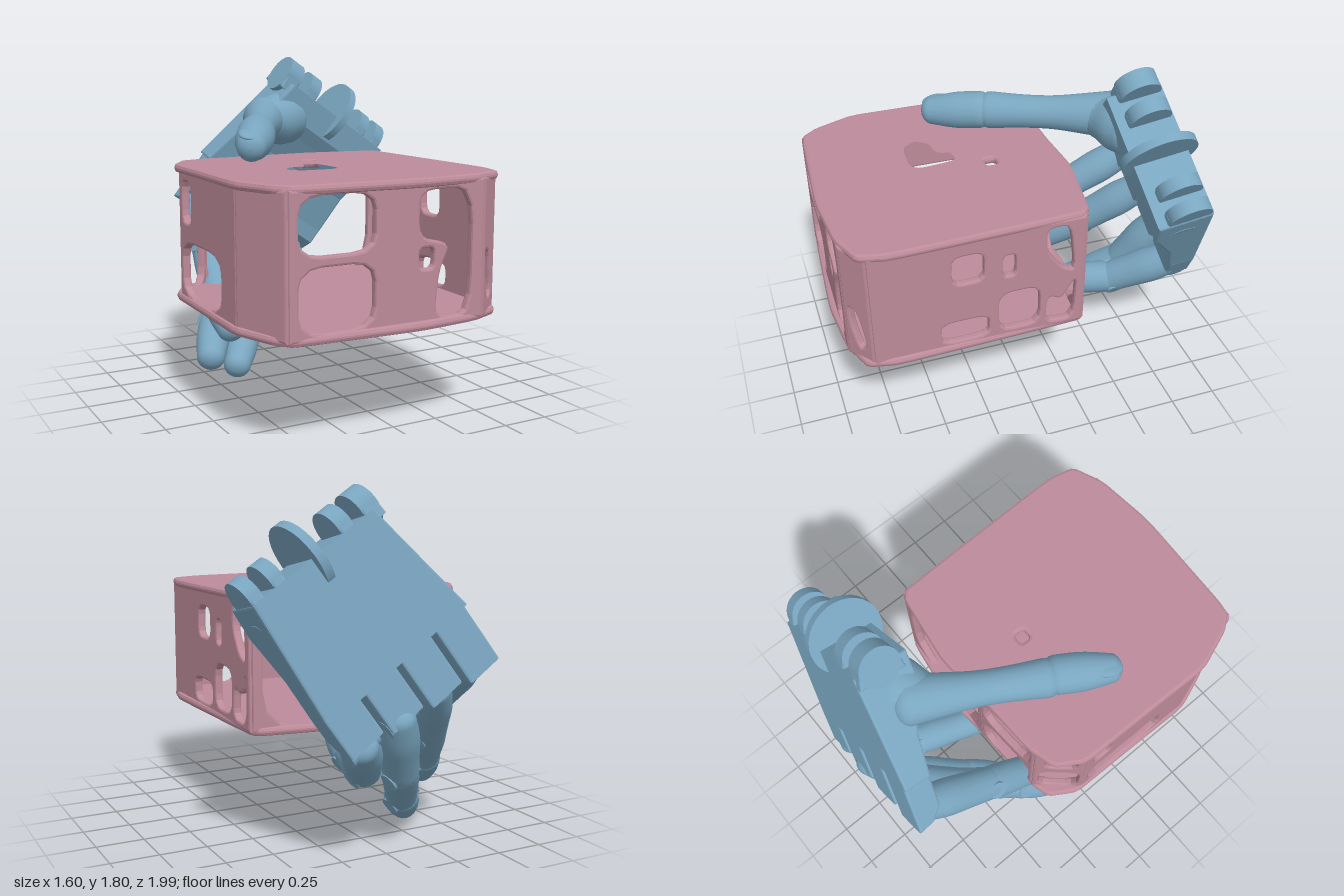
import * as THREE from 'three';

const V = (a) => new THREE.Vector3(...a);
const blue = new THREE.MeshStandardMaterial({ color: 0x7aa6c0 });
const pink = new THREE.MeshStandardMaterial({ color: 0xbd8b9a });

function add(parent, name, geometry, material) {
  const mesh = new THREE.Mesh(geometry, material);
  mesh.name = name;
  parent.add(mesh);
  return mesh;
}

// Corner-cutting turns a rough polygon into a soft outline
function soften(pts, cut = 0.18) {
  for (let k = 0; k < 2; k++) {
    pts = pts.flatMap((p, i) => {
      const q = pts[(i + 1) % pts.length];
      return [cut, 1 - cut].map((t) => [p[0] + (q[0] - p[0]) * t, p[1] + (q[1] - p[1]) * t]);
    });
  }
  return pts.map((p) => new THREE.Vector2(...p));
}
const rect = (x0, x1, y0, y1) => [[x0, y0], [x1, y0], [x1, y1], [x0, y1]];

function slab(shape, depth, bevel) {
  return new THREE.ExtrudeGeometry(shape, {
    depth: depth - 2 * bevel, bevelSize: bevel, bevelThickness: bevel, bevelOffset: -bevel, bevelSegments: 2,
  }).translate(0, 0, bevel);
}

// Round limb from p to q, radii spread evenly, domed at both ends
function limb(parent, name, p, q, radii) {
  const a = V(p), d = V(q).sub(a), len = d.length(), pts = [];
  const r0 = radii[0], r1 = radii[radii.length - 1];
  for (let i = 0; i < 5; i++) {
    const t = (i / 5) * Math.PI / 2;
    pts.push(new THREE.Vector2(Math.sin(t) * r0, -Math.cos(t) * r0 * 0.7));
  }
  const path = new THREE.SplineCurve(radii.map((r, i) => new THREE.Vector2(r, len * i / (radii.length - 1))));
  pts.push(...path.getPoints(radii.length * 3));
  for (let i = 1; i <= 6; i++) {
    const t = (i / 6) * Math.PI / 2;
    pts.push(new THREE.Vector2(Math.max(Math.cos(t), 0) * r1, len + Math.sin(t) * r1 * 0.8));
  }
  const mesh = add(parent, name, new THREE.LatheGeometry(pts, 20), blue);
  mesh.position.copy(a);
  mesh.quaternion.setFromUnitVectors(new THREE.Vector3(0, 1, 0), d.normalize());
}

function buildCase() {
  const box = new THREE.Group();
  box.name = 'hollowCase';

  // Lid and floor share one irregular outline (x, -z)
  const outline = [[-0.79, -0.2], [-0.785, 0.14], [-0.7, 0.28], [-0.55, 0.32], [-0.2, 0.33], [0.08, 0.355], [0.51, 0.29],
    [0.52, 0], [0.535, -0.74], [0.5, -0.89], [0.33, -0.96], [0, -0.99], [-0.65, -0.95], [-0.72, -0.86], [-0.8, -0.64]];
  for (const [name, y] of [['lid', 1.225], ['floor', 0.552]]) {
    const shape = new THREE.Shape(soften(outline, 0.1));
    if (name === 'lid') {
      shape.holes.push(new THREE.Path(soften([[-0.24, -0.2], [-0.13, -0.19], [-0.11, -0.42], [-0.16, -0.48],
        [-0.36, -0.47], [-0.42, -0.38], [-0.36, -0.29], [-0.26, -0.28]])));
      shape.holes.push(new THREE.Path(soften(rect(-0.11, -0.05, -0.07, -0.01))));
    }
    const plate = add(box, name, slab(shape, 0.045, 0.018), pink);
    plate.rotation.x = -Math.PI / 2;
    plate.position.y = y;
  }

  // Wall corners in plan (x, z); holes are (fraction along wall, height)
  const corners = [[-0.66, 0.925], [0.36, 0.935], [0.49, 0.84], [0.495, -0.26], [-0.2, -0.31], [-0.58, -0.29], [-0.75, -0.1], [-0.76, 0.63]];
  const walls = [
    ['frontWall', [rect(0.04, 0.42, 0.95, 1.22), rect(0.04, 0.42, 0.6, 0.9),
      [[0.65, 1.21], [0.94, 1.21], [0.94, 0.6], [0.74, 0.6], [0.76, 0.82], [0.82, 0.95], [0.65, 0.99]],
      rect(0.65, 0.73, 0.84, 0.94)]],
    ['frontLeftCorner', [[[0.15, 0.9], [0.5, 0.88], [0.8, 0.68], [0.5, 0.64], [0.2, 0.78]]]],
    ['leftWall', [rect(0.37, 0.52, 0.98, 1.15), rect(0.31, 0.54, 0.61, 0.74), rect(0.61, 0.67, 0.97, 1.1),
      rect(0.59, 0.79, 0.62, 0.86), [[0.82, 1.21], [0.93, 1.21], [0.96, 0.92], [0.89, 0.96], [0.82, 1.08]],
      [[0.82, 0.61], [0.96, 0.6], [0.97, 0.88], [0.9, 0.74], [0.83, 0.78]]]],
    ['backWallLeft', [rect(0.07, 0.94, 0.59, 1.22)]],
    ['backWallRight', [rect(0.06, 0.94, 0.96, 1.22), rect(0.06, 0.94, 0.59, 0.89)]],
    ['backRightCorner', [rect(0.2, 0.85, 0.98, 1.2), rect(0.1, 0.95, 0.6, 0.89)]],
    ['rightWall', [rect(0.06, 0.22, 0.98, 1.19), rect(0.05, 0.75, 0.6, 0.88)]],
    ['frontRightCorner', []],
  ];
  walls.forEach(([name, holes], i) => {
    const p = corners[i], q = corners[(i + 1) % corners.length];
    const dx = q[0] - p[0], dz = q[1] - p[1], len = Math.hypot(dx, dz);
    const shape = new THREE.Shape(rect(-0.008, len + 0.008, 0.57, 1.25).map((a) => new THREE.Vector2(...a)));
    holes.forEach((h) => shape.holes.push(new THREE.Path(soften(h.map(([f, y]) => [f * len, y])))));
    const wall = add(box, name, slab(shape, 0.045, 0.012).translate(0, 0, -0.022), pink);
    wall.position.set(p[0], 0, p[1]);
    wall.rotation.y = Math.atan2(-dz, dx);
  });
  return box;
}

function buildHand() {
  const hand = new THREE.Group();
  hand.name = 'hand';

  // Palm frame: x towards the fingers, y out of the palm, z across towards the thumb
  const palm = new THREE.Group();
  palm.name = 'palm';
  const across = V([-0.83, 0.56, 0.05]).normalize();
  const along = V([-0.56, -0.83, -0.18]).normalize();
  const out = across.clone().cross(along).normalize();
  across.crossVectors(along, out);
  palm.matrix.makeBasis(along, out, across).setPosition(0.746, 1.285, -0.84);
  palm.matrix.decompose(palm.position, palm.quaternion, palm.scale);
  hand.add(palm);

  function plate(name, pts, z, width) {
    const shape = new THREE.Shape(pts.map((p) => new THREE.Vector2(...p)));
    const mesh = add(palm, name, slab(shape, width, 0.012), blue);
    mesh.position.z = z;
    return mesh;
  }
  const body = plate('palmBody', [[0, 0], [0.64, 0], [0.64, 0.15], [0.4, 0.18], [0.24, 0.25], [0.16, 0.29], [0, 0.29]], 0, 0.82);

  // The palm fans out towards the knuckles
  const pos = body.geometry.attributes.position;
  for (let i = 0; i < pos.count; i++) {
    const x = pos.getX(i), z = pos.getZ(i);
    pos.setZ(i, z > 0.4 ? z + (x - 0.35) * 0.2 : z - x * 0.08);
  }
  body.geometry.computeVertexNormals();

  // Knuckle blocks reach further on the thumb side, with slots between them
  for (let i = 0; i < 4; i++) {
    const end = 0.83 + i * 0.04;
    plate('knuckleBlock', [[0.6, 0], [end, 0], [end - 0.02, 0.09], [end - 0.1, 0.15], [0.6, 0.15]], i * 0.235 - 0.05, 0.205);
  }

  // Wrist hinge lugs and the large disc
  const lug = (name, x, y, z, r, width) => {
    const mesh = add(palm, name, new THREE.CylinderGeometry(r, r, width, 32), blue);
    mesh.rotation.x = Math.PI / 2;
    mesh.position.set(x, y, z);
  };
  for (const [z, width] of [[0.04, 0.07], [0.17, 0.07], [0.59, 0.08], [0.745, 0.1]]) {
    lug('wristLug', -0.02, 0.125, z, 0.11, width);
    plate('lugWeb', [[-0.03, 0.015], [0.05, 0], [0.05, 0.25], [-0.03, 0.235]], z - width / 2, width);
  }
  lug('wristDisc', 0, 0.15, 0.375, 0.2, 0.045);
  lug('palmBoss', 0.2, 0.15, 0.03, 0.11, 0.08);

  // Fingers as joint chains: knuckle, middle joint, end joint, tip centre
  const fingers = {
    indexFinger: [[-0.37, 0.97, -0.88], [-0.46, 0.72, -0.5], [-0.52, 0.5, -0.2], [-0.53, 0.39, -0.02]],
    middleFinger: [[-0.16, 0.85, -0.9], [-0.34, 0.56, -0.6], [-0.5, 0.34, -0.32], [-0.6, 0.21, -0.14]],
    ringFinger: [[0.05, 0.73, -0.92], [-0.07, 0.42, -0.76], [-0.24, 0.2, -0.5], [-0.37, 0.08, -0.32]],
    littleFinger: [[0.25, 0.62, -0.92], [0.07, 0.42, -0.64], [-0.06, 0.39, -0.27], [-0.13, 0.43, -0.01]],
  };
  for (const [name, j] of Object.entries(fingers)) {
    const finger = new THREE.Group();
    finger.name = name;
    hand.add(finger);
    limb(finger, 'firstSegment', j[0], j[1], [0.085, 0.1, 0.095, 0.09]);
    limb(finger, 'middleSegment', j[1], j[2], [0.09, 0.092, 0.086, 0.085]);
    limb(finger, 'fingertip', j[2], j[3], [0.09, 0.09, 0.076]);
    // Hinge pins across each joint
    for (const k of [0, 1, 2]) {
      const pin = add(finger, 'hingePin', new THREE.CylinderGeometry(0.05, 0.05, 0.175, 20), blue);
      pin.position.copy(V(j[k]));
      pin.quaternion.setFromUnitVectors(new THREE.Vector3(0, 1, 0), across);
    }
  }

  // Thumb with its broad root
  const thumb = new THREE.Group();
  thumb.name = 'thumb';
  hand.add(thumb);
  limb(thumb, 'thumbRoot', [0.11, 1.45, -0.67], [-0.04, 1.44, -0.58], [0.155, 0.15, 0.12]);
  limb(thumb, 'thumbShaft', [-0.03, 1.45, -0.64], [-0.36, 1.41, -0.05], [0.13, 0.108, 0.09, 0.09, 0.1]);
  limb(thumb, 'thumbTip', [-0.38, 1.41, 0.0], [-0.515, 1.375, 0.235], [0.1, 0.098, 0.076]);
  const nail = add(thumb, 'thumbNail', new THREE.SphereGeometry(1, 20, 12), blue);
  nail.scale.set(0.06, 0.02, 0.085);
  nail.position.set(-0.51, 1.435, 0.21);
  nail.rotation.set(0.25, -0.55, 0);
  return hand;
}

export function createModel() {
  const model = new THREE.Group();
  model.name = 'handHoldingCase';
  model.add(buildCase(), buildHand());
  return model;
}
